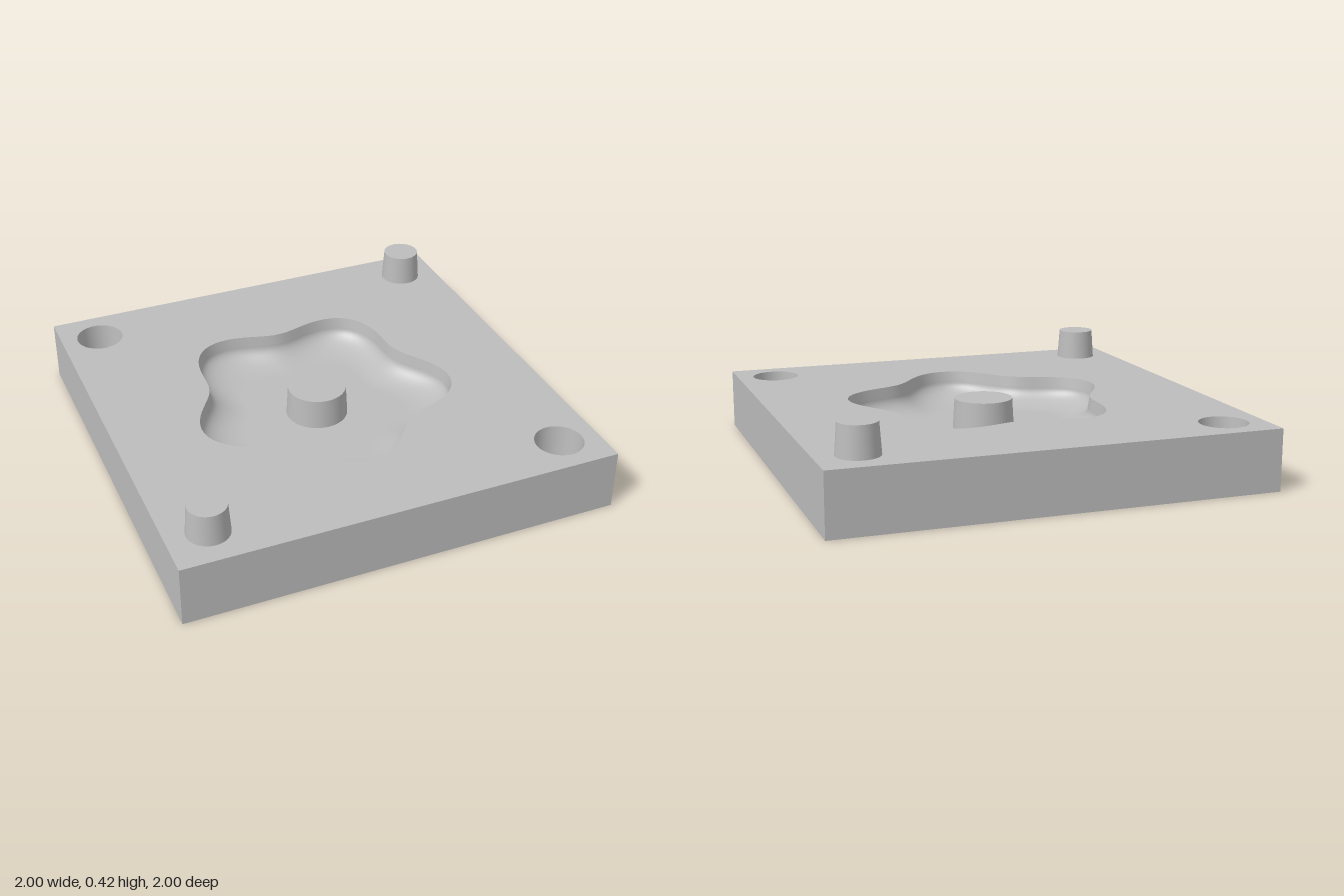
import * as THREE from 'three';

const TOP = 0.28, CAVITY_DEPTH = 0.14, HOLE_DEPTH = 0.15, SEGMENTS = 120;

// Rounded five-armed star outline, as a radius for each angle measured from +z.
const starRadius = (a) => 0.565 + 0.066 * Math.cos(5 * a);
const circleRadius = (r) => () => r;

// Skin of rings: each profile entry is [scale of the outline, height], from the inside outwards.
function loft(radius, profile) {
  const positions = [], index = [];
  profile.forEach(([scale, y], k) => {
    for (let i = 0; i < SEGMENTS; i++) {
      const a = (i / SEGMENTS) * Math.PI * 2, r = radius(a) * scale;
      positions.push(r * Math.sin(a), y, r * Math.cos(a));
      if (k === 0) continue;
      const j = (i + 1) % SEGMENTS, inner = (k - 1) * SEGMENTS, outer = k * SEGMENTS;
      index.push(inner + i, outer + i, outer + j, inner + i, outer + j, inner + j);
    }
  });
  const geometry = new THREE.BufferGeometry();
  geometry.setAttribute('position', new THREE.Float32BufferAttribute(positions, 3));
  geometry.setIndex(index);
  geometry.computeVertexNormals();
  return geometry;
}

// Outline as a hole path in the plate's top face (shape y is -z).
function outlinePath(radius, cx = 0, cz = 0) {
  const points = [];
  for (let i = 0; i < SEGMENTS; i++) {
    const a = (i / SEGMENTS) * Math.PI * 2, r = radius(a);
    points.push(new THREE.Vector2(cx + r * Math.sin(a), -(cz + r * Math.cos(a))));
  }
  return new THREE.Path(points);
}

export function createModel() {
  const group = new THREE.Group();
  group.name = 'mouldHalf';
  const grey = new THREE.MeshStandardMaterial({ color: 0xbcbcbc });
  grey.name = 'grey';

  const add = (name, geometry, x = 0, y = 0, z = 0) => {
    const mesh = new THREE.Mesh(geometry, grey);
    mesh.name = name;
    mesh.position.set(x, y, z);
    group.add(mesh);
  };

  // Plate sides and underside: a box without its upper face
  const box = new THREE.BoxGeometry(2, TOP, 2);
  const faces = Array.from(box.index.array);
  faces.splice(12, 6);
  box.setIndex(faces);
  box.clearGroups();
  add('plateBody', box, 0, TOP / 2, 0);

  // Upper face with openings for the cavity and the two sockets
  const sockets = [[-0.815, -0.815], [0.815, 0.815]];
  const socketRadius = circleRadius(0.11);
  const face = new THREE.Shape([[-1, -1], [1, -1], [1, 1], [-1, 1]].map(([x, y]) => new THREE.Vector2(x, y)));
  face.holes.push(outlinePath(starRadius));
  sockets.forEach(([x, z]) => face.holes.push(outlinePath(socketRadius, x, z)));
  add('plateTop', new THREE.ShapeGeometry(face).rotateX(-Math.PI / 2), 0, TOP, 0);

  // Star cavity: flat floor rising through a rounded fillet to a steep rim
  const floorY = TOP - CAVITY_DEPTH, filletHeight = 0.09, inner = 0.64, outer = 0.985;
  const bowl = [[0, floorY]];
  for (let i = 0; i <= 16; i++) {
    const t = (i / 16) * Math.PI / 2;
    bowl.push([inner + (outer - inner) * Math.sin(t), floorY + filletHeight * (1 - Math.cos(t))]);
  }
  add('cavityBowl', loft(starRadius, bowl));
  add('cavityRim', loft(starRadius, [[outer, floorY + filletHeight], [1, TOP]]));

  // Centre post, level with the upper face
  add('centrePost', new THREE.CylinderGeometry(0.135, 0.143, CAVITY_DEPTH, 64), 0, TOP - CAVITY_DEPTH / 2, 0);

  // Alignment sockets
  sockets.forEach(([x, z]) => {
    add('socketWall', loft(socketRadius, [[0.92, TOP - HOLE_DEPTH], [1, TOP]]), x, 0, z);
    add('socketFloor', loft(socketRadius, [[0, TOP - HOLE_DEPTH], [0.92, TOP - HOLE_DEPTH]]), x, 0, z);
  });

  // Alignment pegs on the opposite corners
  [[0.815, -0.815], [-0.815, 0.815]].forEach(([x, z]) =>
    add('peg', new THREE.CylinderGeometry(0.085, 0.095, 0.14, 48), x, TOP + 0.07, z));

  return group;
}
